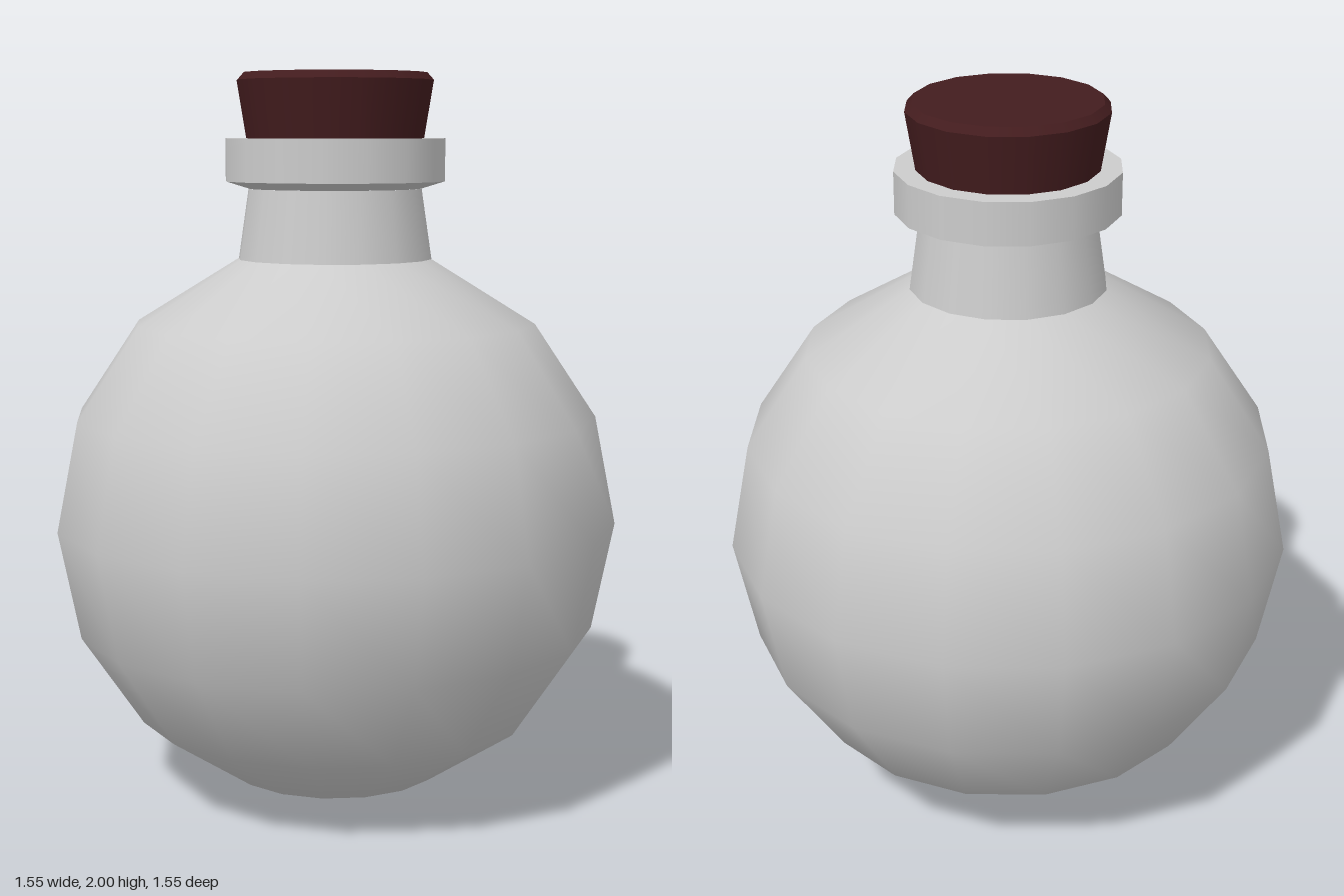
import * as THREE from 'three';
import { mergeGeometries } from 'three/addons/utils/BufferGeometryUtils.js';

const SIDES = 16;
const glass = new THREE.MeshStandardMaterial({ color: 0xcccccc });
const corkStuff = new THREE.MeshStandardMaterial({ color: 0x431c1e });

// Turned surface, smooth along the whole profile ([radius, height], bottom to top)
function turn(profile) {
  return new THREE.LatheGeometry(profile.map(([r, y]) => new THREE.Vector2(r, y)), SIDES);
}

// Turned surface with a hard edge at every profile point
function turnCreased(profile) {
  return mergeGeometries(profile.slice(1).map((p, i) => turn([profile[i], p])));
}

function part(name, geometry, material) {
  const mesh = new THREE.Mesh(geometry, material);
  mesh.name = name;
  return mesh;
}

export function createModel() {
  const group = new THREE.Group();
  group.name = 'corkedFlask';

  // Round body: sphere rings up to the shoulder, then in to the neck
  const R = 0.775;
  const bodyProfile = [];
  for (let i = 0; i <= 6; i++) {
    const a = (i * Math.PI) / 8;
    bodyProfile.push([R * Math.sin(a), R + 0.003 - R * Math.cos(a)]);
  }
  bodyProfile[0] = [0, 0];
  bodyProfile.push([0.265, 1.5]);
  group.add(part('body', turn(bodyProfile), glass));

  // Tapered neck
  group.add(part('neck', turn([[0.265, 1.5], [0.237, 1.69]]), glass));

  // Lip ring with a sloped underside and flat top
  group.add(part('lip', turnCreased([[0.235, 1.69], [0.3, 1.71], [0.3, 1.825], [0.22, 1.825]]), glass));

  // Stopper widening upward, with a small chamfer
  group.add(part('cork', turnCreased([[0, 1.7], [0.222, 1.7], [0.268, 1.98], [0.25, 2], [0, 2]]), corkStuff));

  return group;
}
